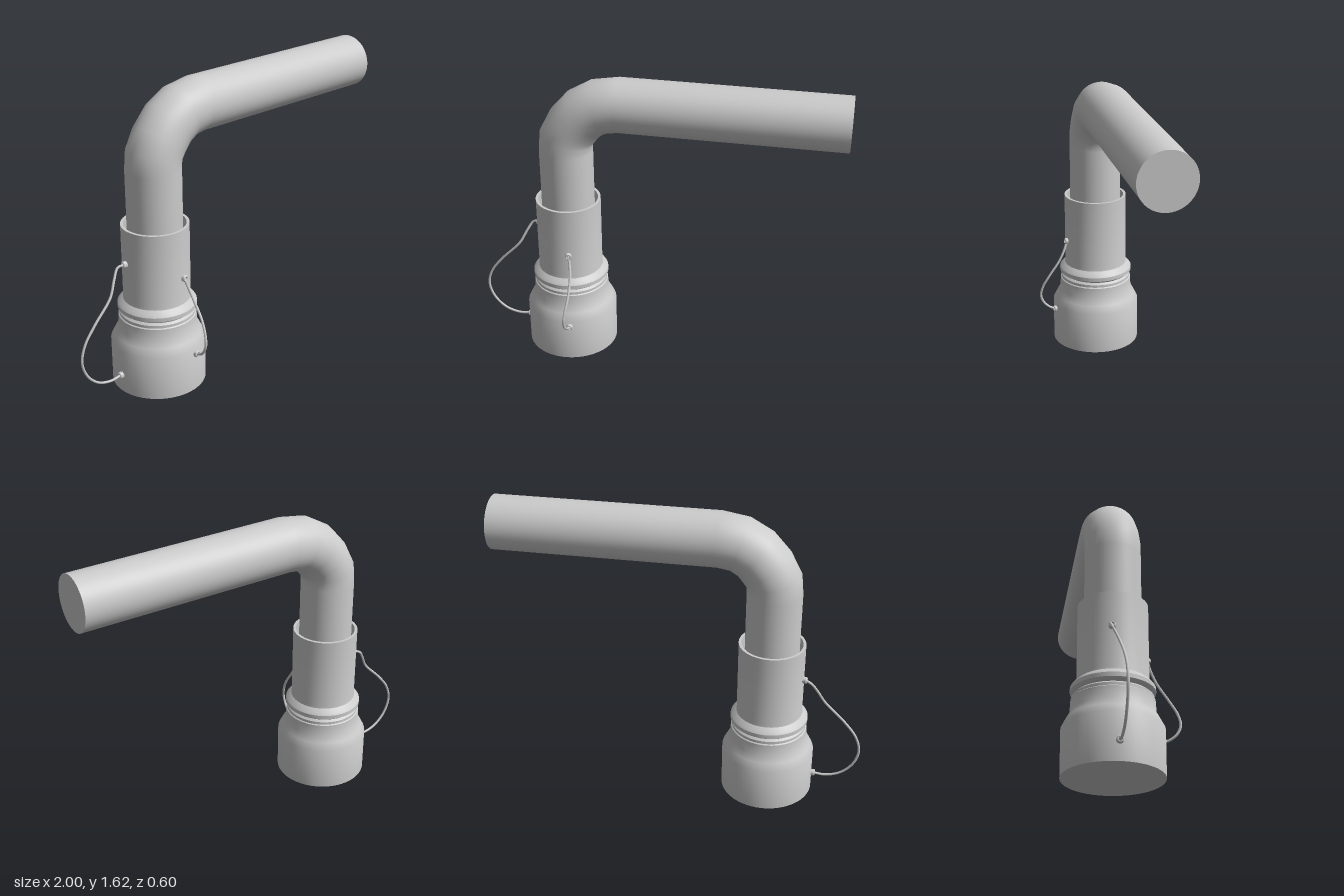
import * as THREE from 'three';
import { toCreasedNormals } from 'three/addons/utils/BufferGeometryUtils.js';

const CX = -0.49, CZ = -0.045; // axis of the upright
const material = new THREE.MeshStandardMaterial({ color: 0xcccccc });

function add(parent, name, geometry) {
  const mesh = new THREE.Mesh(geometry, material);
  mesh.name = name;
  parent.add(mesh);
  return mesh;
}

function lathe(profile, sides, crease = 0.6) {
  const points = profile.map(([r, y]) => new THREE.Vector2(r, y));
  return toCreasedNormals(new THREE.LatheGeometry(points, sides), crease);
}

// Capped pipe: each row of a cylinder is moved to a station [x, y, lean from vertical in degrees]
function bentPipe(radius, stations) {
  const rows = stations.length - 1;
  const geometry = new THREE.CylinderGeometry(radius, radius, rows, 48, rows);
  const pos = geometry.attributes.position, nor = geometry.attributes.normal;
  const axis = new THREE.Vector3(0, 0, 1), v = new THREE.Vector3();
  for (let i = 0; i < pos.count; i++) {
    const [x, y, lean] = stations[Math.round(pos.getY(i) + rows / 2)];
    const angle = -THREE.MathUtils.degToRad(lean);
    v.set(pos.getX(i), 0, pos.getZ(i)).applyAxisAngle(axis, angle);
    pos.setXYZ(i, v.x + x, v.y + y, v.z + CZ);
    v.fromBufferAttribute(nor, i).applyAxisAngle(axis, angle);
    nor.setXYZ(i, v.x, v.y, v.z);
  }
  return geometry;
}

// Small ferrule pointing straight out from the upright, with a recessed centre
function addFerrule(parent, name, [x, y, z]) {
  const ferrule = add(parent, name, lathe(
    [[0.018, -0.025], [0.018, 0.008], [0.015, 0.012], [0.01, 0.012], [0.008, 0.005], [0, 0.005]], 16));
  const out = new THREE.Vector3(x - CX, 0, z - CZ).normalize();
  ferrule.quaternion.setFromUnitVectors(new THREE.Vector3(0, 1, 0), out);
  ferrule.position.set(x, y, z);
}

function addTether(parent, name, points) {
  const tether = new THREE.Group();
  tether.name = name;
  const curve = new THREE.CatmullRomCurve3(points.map((p) => new THREE.Vector3(...p)));
  add(tether, 'cable', new THREE.TubeGeometry(curve, 64, 0.007, 8));
  addFerrule(tether, 'upperFerrule', points[0]);
  addFerrule(tether, 'lowerFerrule', points[points.length - 1]);
  parent.add(tether);
}

export function createModel() {
  const model = new THREE.Group();
  model.name = 'bentPipeWithCoupling';

  // Flared socket at the bottom
  const base = add(model, 'baseSocket', lathe([
    [0, 0], [0.252, 0], [0.252, 0.245], [0.23, 0.288], [0.21, 0.325],
    [0.207, 0.39], [0.201, 0.395], [0.201, 0.41], [0.19, 0.42], [0, 0.42],
  ], 64));

  // Sleeve with a lip at its foot and an open rim around the pipe
  const sleeve = add(model, 'sleeve', lathe([
    [0.18, 0.415], [0.2, 0.428], [0.21, 0.436], [0.21, 0.458], [0.203, 0.468],
    [0.18, 0.488], [0.178, 0.5], [0.178, 0.905], [0.163, 0.905], [0.163, 0.75], [0.13, 0.75],
  ], 64));
  for (const part of [base, sleeve]) part.position.set(CX, 0, CZ);

  // Pipe rising from the sleeve and bending toward +x
  add(model, 'pipe', bentPipe(0.145, [
    [CX, 0.6, 0], [CX, 1.2, 0], [-0.484, 1.273, 15], [-0.447, 1.341, 36],
    [-0.385, 1.413, 53], [-0.305, 1.46, 72], [-0.2, 1.477, 89], [0.999, 1.467, 90],
  ]));

  // Loose tethers joining sleeve and socket
  addTether(model, 'sideTether', [
    [-0.675, 0.715, -0.075], [-0.71, 0.705, -0.088], [-0.745, 0.655, -0.075], [-0.79, 0.575, -0.055],
    [-0.9, 0.46, -0.05], [-0.968, 0.37, -0.05], [-0.992, 0.28, -0.05], [-0.965, 0.19, -0.05],
    [-0.9, 0.122, -0.05], [-0.82, 0.095, -0.05], [-0.75, 0.1, -0.05],
  ]);
  addTether(model, 'frontTether', [
    [-0.455, 0.637, 0.134], [-0.445, 0.59, 0.15], [-0.437, 0.528, 0.18], [-0.438, 0.433, 0.243],
    [-0.448, 0.365, 0.28], [-0.455, 0.305, 0.293], [-0.455, 0.257, 0.275],
    [-0.45, 0.225, 0.238], [-0.445, 0.215, 0.208],
  ]);
  return model;
}
